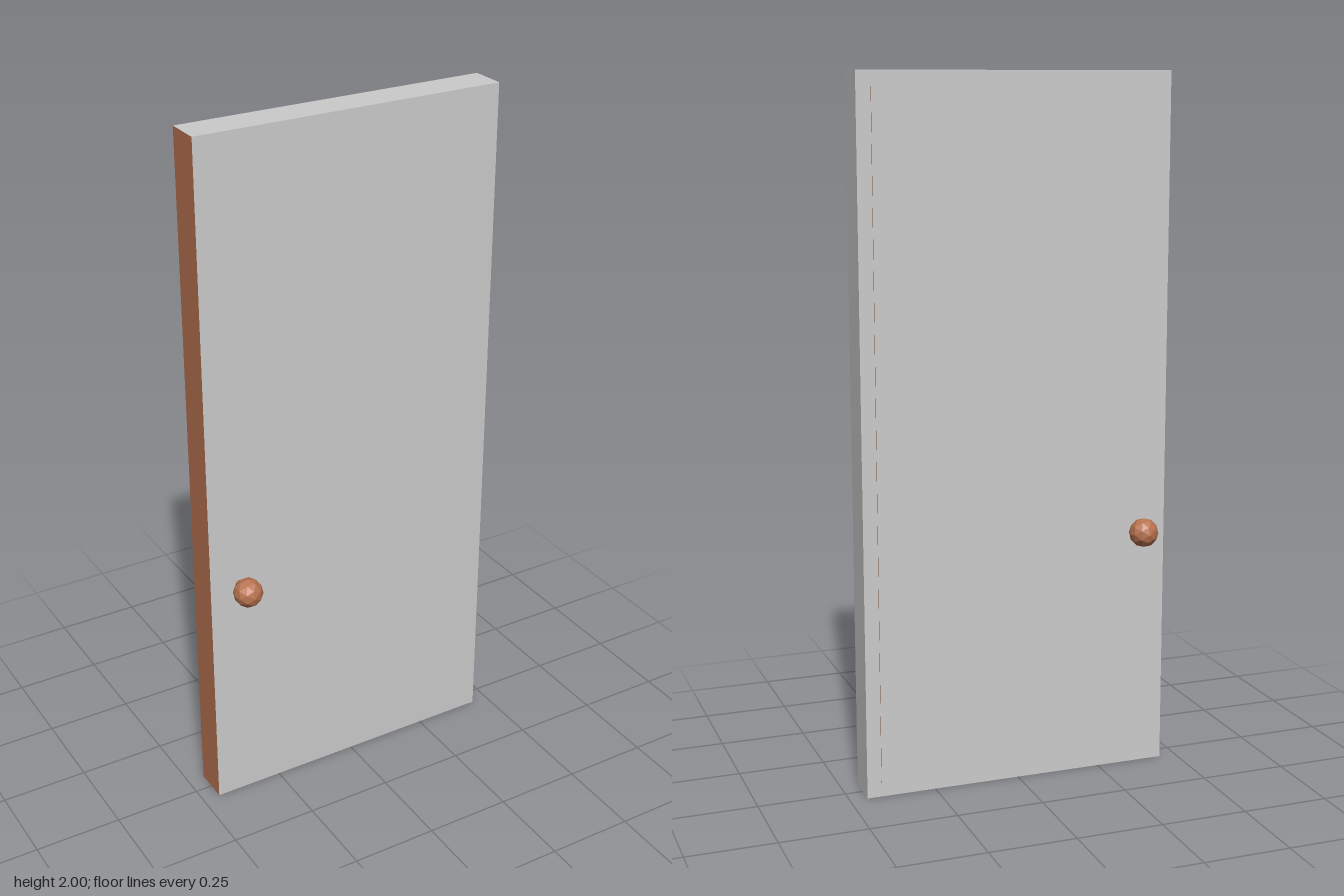
import * as THREE from 'three';

export function createModel() {
  const door = new THREE.Group();
  door.name = 'door';
  const grey = new THREE.MeshStandardMaterial({ color: 0xcccccc, flatShading: true });
  const brown = new THREE.MeshStandardMaterial({ color: 0xb87350, flatShading: true });

  const add = (parent, name, geometry, material, x, y, z) => {
    const mesh = new THREE.Mesh(geometry, material);
    mesh.name = name;
    mesh.position.set(x, y, z);
    parent.add(mesh);
    return mesh;
  };

  // Slab: brown latch edge (-x) and underside, grey elsewhere
  const front = 0.05, back = -0.053;
  add(door, 'slab', new THREE.BoxGeometry(0.9, 2, front - back),
    [grey, brown, grey, brown, grey, grey], 0, 1, (front + back) / 2);

  // Slightly raised back panel with brown rims
  const raise = 0.003;
  add(door, 'backPanel', new THREE.BoxGeometry(0.818, 1.916, raise),
    [brown, brown, brown, brown, grey, grey], 0, 1, back - raise / 2);

  // Faceted knob on a short stem, one on each side
  for (const side of [1, -1]) {
    const handle = new THREE.Group();
    handle.name = side > 0 ? 'frontHandle' : 'backHandle';
    handle.position.set(-0.363, 0.708, 0);
    add(handle, 'knob', new THREE.IcosahedronGeometry(0.042, 1), brown, 0, 0, side * 0.1055);
    const stem = add(handle, 'stem', new THREE.CylinderGeometry(0.01, 0.01, 0.06, 8), brown, 0, 0, side * 0.07);
    stem.rotation.x = Math.PI / 2;
    door.add(handle);
  }
  return door;
}
